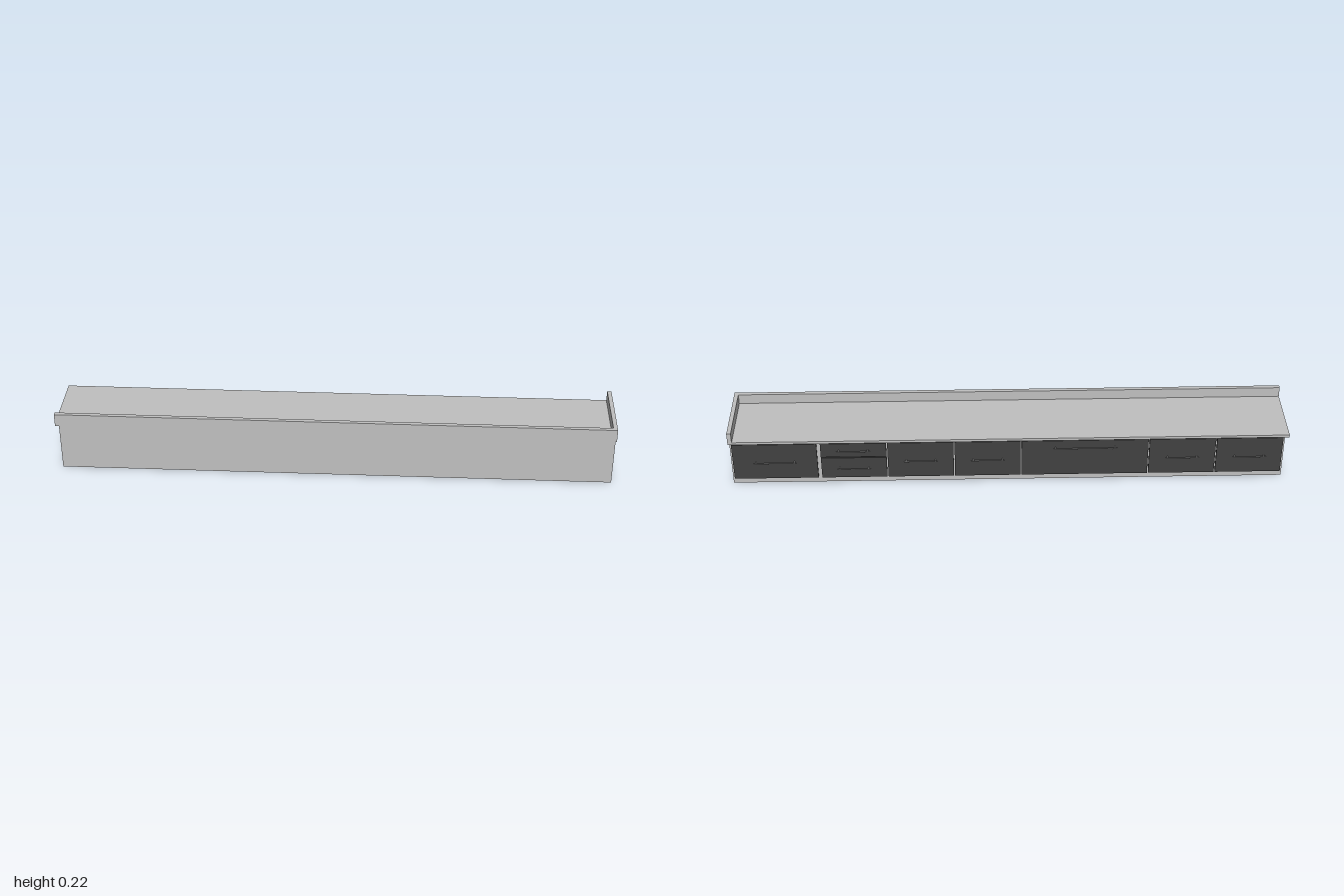
import * as THREE from 'three';

export function createModel() {
  const model = new THREE.Group();
  const mat = (name, color) => {
    const m = new THREE.MeshStandardMaterial({ color });
    m.name = name;
    return m;
  };
  const panel = mat('light grey panel', 0xc0c0c0);
  const charcoal = mat('charcoal front', 0x414141);
  const steel = mat('handle steel', 0xa0a0a0);

  // Box given by its lower and upper corners
  function box(name, material, x0, x1, y0, y1, z0, z1, parent = model) {
    const mesh = new THREE.Mesh(new THREE.BoxGeometry(x1 - x0, y1 - y0, z1 - z0), material);
    mesh.position.set((x0 + x1) / 2, (y0 + y1) / 2, (z0 + z1) / 2);
    mesh.name = name;
    parent.add(mesh);
  }

  // Hollow carcass, open underneath
  const L = -0.987, R = 0.996, F = 0.13, B = -0.114, H = 0.177, t = 0.003;
  box('customerPanel', panel, L, R, 0, H, F - t, F);
  box('drawerSidePanel', panel, L, R, 0, H, B, B + t);
  box('rightEndPanel', panel, L, L + t, 0, H, B + t, F - t);
  box('leftEndPanel', panel, R - t, R, 0, H, B + t, F - t);
  box('partition', panel, 0.68, 0.683, 0, H, B + t, F - t);

  // Worktop with a raised lip along the front and the left end
  box('worktop', panel, -1, 0.985, H, 0.187, -0.128, 0.119);
  box('frontLip', panel, -1, 1, H, 0.225, 0.119, 0.134);
  box('endLip', panel, 0.985, 1, H, 0.225, -0.128, 0.119);

  // Drawer front with a bar handle half its width
  function drawer(x0, x1, y0, y1, handleY, gap = 0.002) {
    const group = new THREE.Group();
    group.name = 'drawer';
    model.add(group);
    box('drawerFront', charcoal, x0 + gap, x1 - gap, y0, y1, -0.12, B, group);
    const cx = (x0 + x1) / 2, len = (x1 - x0) / 2, r = 0.002;
    const bar = new THREE.Mesh(new THREE.CylinderGeometry(r, r, len, 10), steel);
    bar.rotation.z = Math.PI / 2;
    bar.position.set(cx, handleY, -0.131);
    bar.name = 'handleBar';
    group.add(bar);
    for (const s of [-1, 1]) {
      const post = new THREE.Mesh(new THREE.CylinderGeometry(r, r, 0.012, 10), steel);
      post.rotation.x = Math.PI / 2;
      post.position.set(cx + s * (len / 2 - 0.008), handleY, -0.125);
      post.name = 'handlePost';
      group.add(post);
    }
  }

  // Row of fronts; the second bay is split into two drawers
  const low = 0.022, high = 0.17, mid = 0.095, upper = 0.142;
  drawer(0.686, 0.992, low, high, mid);
  drawer(0.438, 0.677, 0.112, high, upper);
  drawer(0.438, 0.677, low, 0.108, 0.065);
  drawer(0.198, 0.438, low, high, mid);
  drawer(-0.042, 0.198, low, high, mid);
  drawer(-0.5, -0.042, low, high, upper);
  drawer(-0.742, -0.5, low, high, mid);
  drawer(-0.983, -0.742, low, high, mid);

  return model;
}
